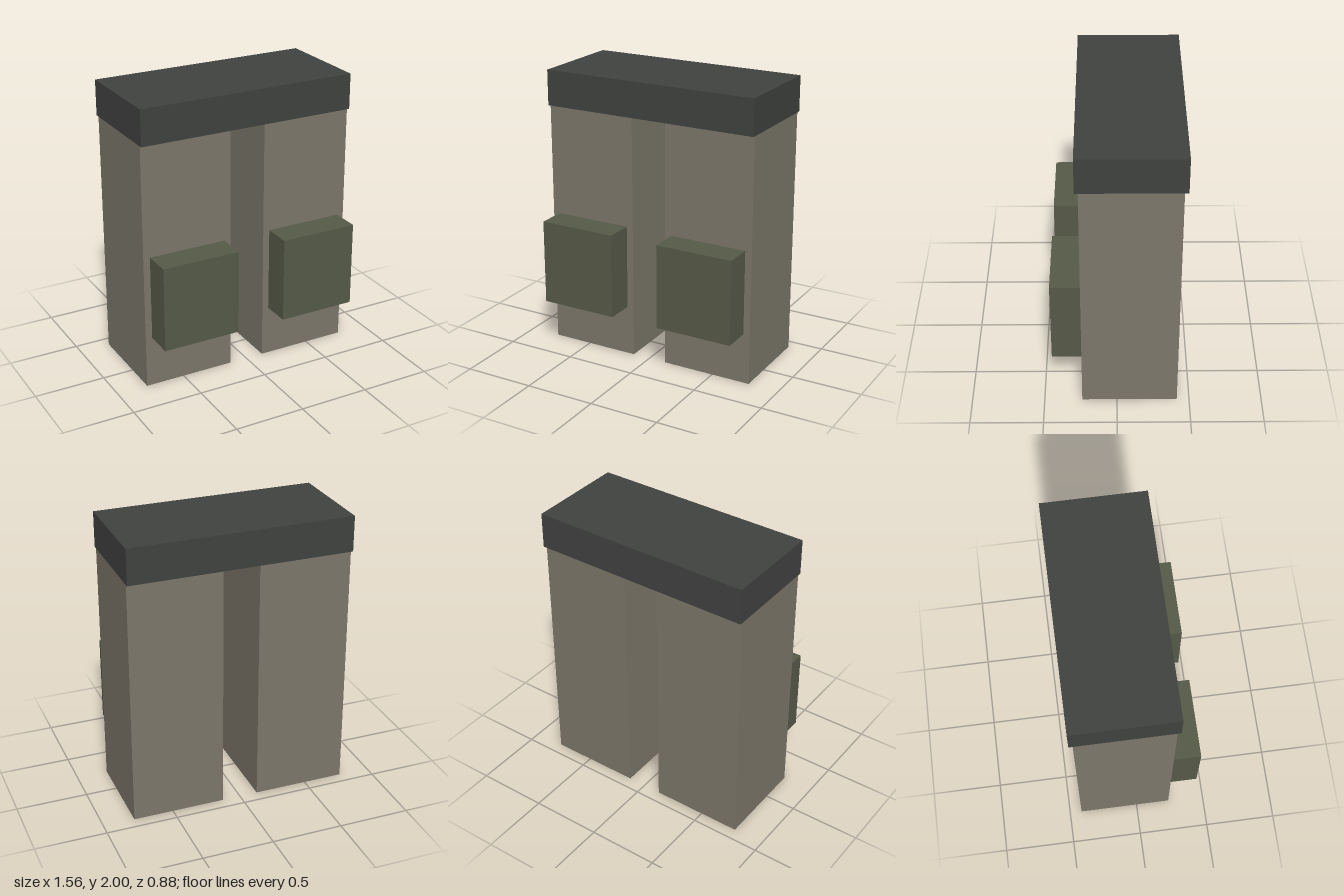
import * as THREE from 'three';

export function createModel() {
  const model = new THREE.Group();
  const cloth = new THREE.MeshStandardMaterial({ color: 0x7c776a });
  const beltDark = new THREE.MeshStandardMaterial({ color: 0x404240 });
  const padGreen = new THREE.MeshStandardMaterial({ color: 0x565a48 });

  // Box given by its lower and upper corners
  function box(name, material, [x0, y0, z0], [x1, y1, z1]) {
    const mesh = new THREE.Mesh(new THREE.BoxGeometry(x1 - x0, y1 - y0, z1 - z0), material);
    mesh.position.set((x0 + x1) / 2, (y0 + y1) / 2, (z0 + z1) / 2);
    mesh.name = name;
    model.add(mesh);
    return mesh;
  }

  // Waistband across both legs
  box('waistband', beltDark, [-0.782, 1.75, -0.442], [0.782, 2, 0.264]);

  // Legs, tucked a little into the waistband, each with a knee pad
  for (const [side, s] of [['left', 1], ['right', -1]]) {
    const leg = box(side + 'Leg', cloth, [0.128, 0, -0.415], [0.78, 1.8, 0.24]);
    const pad = box(side + 'KneePad', padGreen, [0.176, 0.36, 0.23], [0.732, 0.963, 0.442]);
    leg.position.x *= s;
    pad.position.x *= s;
  }

  return model;
}
